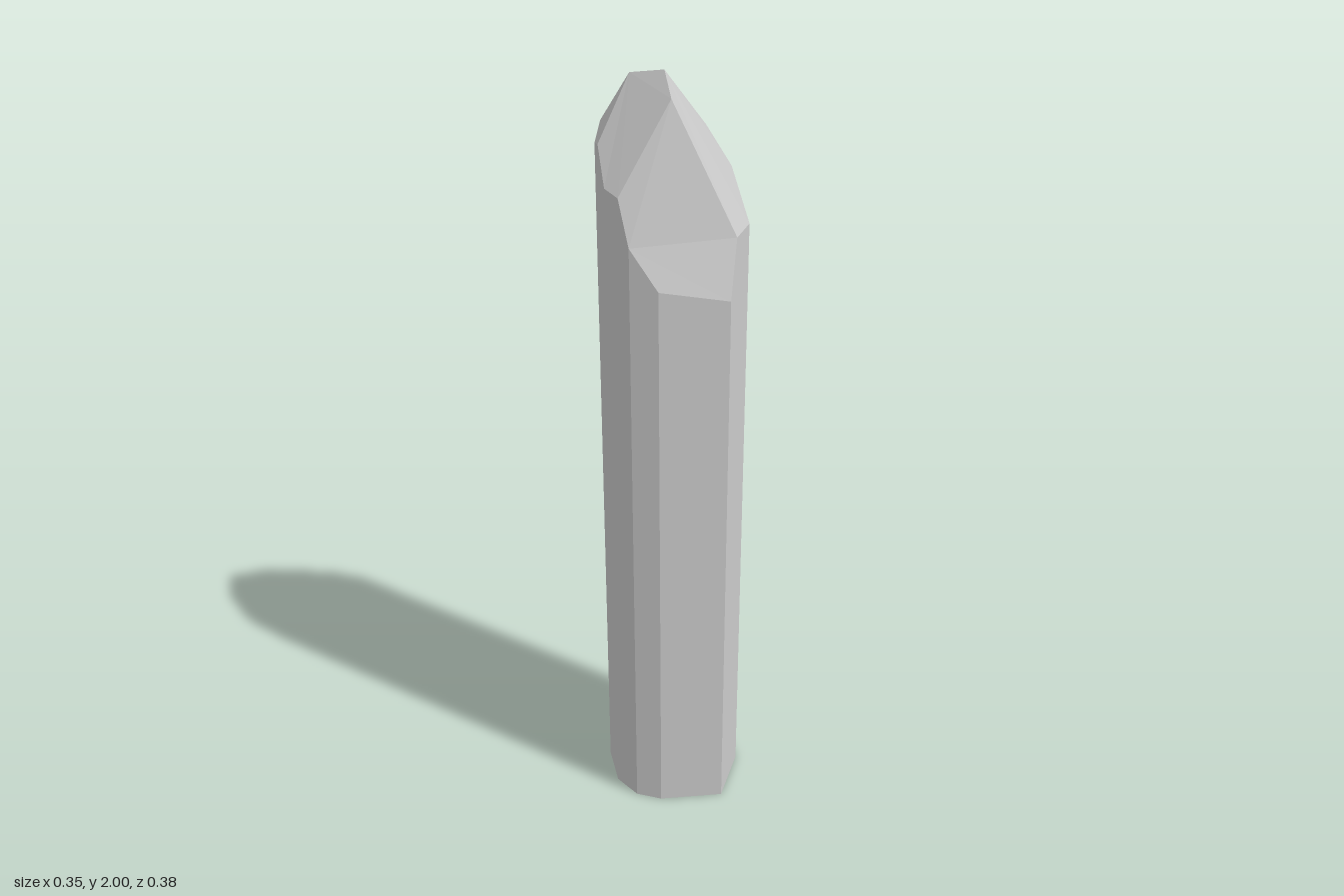
import * as THREE from 'three';

// Shoulder of the crystal: upper ends of the column walls, going round from the back
const rim = [
  [-0.08, 1.62, -0.19], [0.04, 1.61, -0.19], [0.11, 1.74, -0.112], [0.175, 1.63, -0.037],
  [0.175, 1.64, 0.08], [0.175, 1.50, 0.125], [0.02, 1.53, 0.19], [-0.05, 1.63, 0.19],
  [-0.08, 1.74, 0.172], [-0.12, 1.75, 0.147], [-0.155, 1.83, 0.084], [-0.175, 1.82, 0.048],
  [-0.175, 1.86, 0.005], [-0.175, 1.80, -0.037], [-0.13, 1.78, -0.108],
];

// Inner corners of the pointed tip (indices 15 to 19)
const tip = [
  [-0.01, 2.0, 0.038], [-0.1, 1.98, 0.013], [0.02, 1.95, 0.085],
  [0.05, 1.84, -0.097], [-0.1, 1.84, -0.098],
];

// Cut facets of the tip, as corner indices into rim + tip
const facets = [
  [15, 17, 4, 3, 2, 18],      // large right facet
  [17, 8, 7, 4],              // front facet
  [7, 6, 5, 4],               // front lower facet
  [16, 10, 9, 8, 17, 15],     // front left facet
  [16, 12, 11, 10],           // small left facet
  [19, 14, 13, 12, 16],       // left facet
  [15, 18, 19, 16],           // back upper facet
  [18, 2, 14, 19],            // back ledge
  [2, 1, 0, 14],              // back lower facet
];

// Flat-shaded mesh from convex polygons, each split as a fan
function facetedMesh(name, polygons) {
  const positions = [];
  for (const p of polygons) {
    for (let i = 1; i < p.length - 1; i++) positions.push(...p[0], ...p[i], ...p[i + 1]);
  }
  const geometry = new THREE.BufferGeometry();
  geometry.setAttribute('position', new THREE.Float32BufferAttribute(positions, 3));
  geometry.computeVertexNormals();
  const material = new THREE.MeshStandardMaterial({ color: 0xcccccc, flatShading: true });
  const mesh = new THREE.Mesh(geometry, material);
  mesh.name = name;
  return mesh;
}

export function createModel() {
  const group = new THREE.Group();
  group.name = 'crystal';

  // Column walls drop from the shoulder to the ground; one back edge leans outward
  const foot = rim.map(([x, , z], i) => [x, 0, i === 2 ? -0.132 : z]);
  const walls = rim.map((corner, i) => {
    const j = (i + 1) % rim.length;
    return [corner, rim[j], foot[j], foot[i]];
  });
  group.add(facetedMesh('column', walls));

  // Flat underside
  group.add(facetedMesh('base', [foot]));

  // Faceted point
  const corners = [...rim, ...tip];
  group.add(facetedMesh('tip', facets.map((f) => f.map((i) => corners[i]))));

  return group;
}
